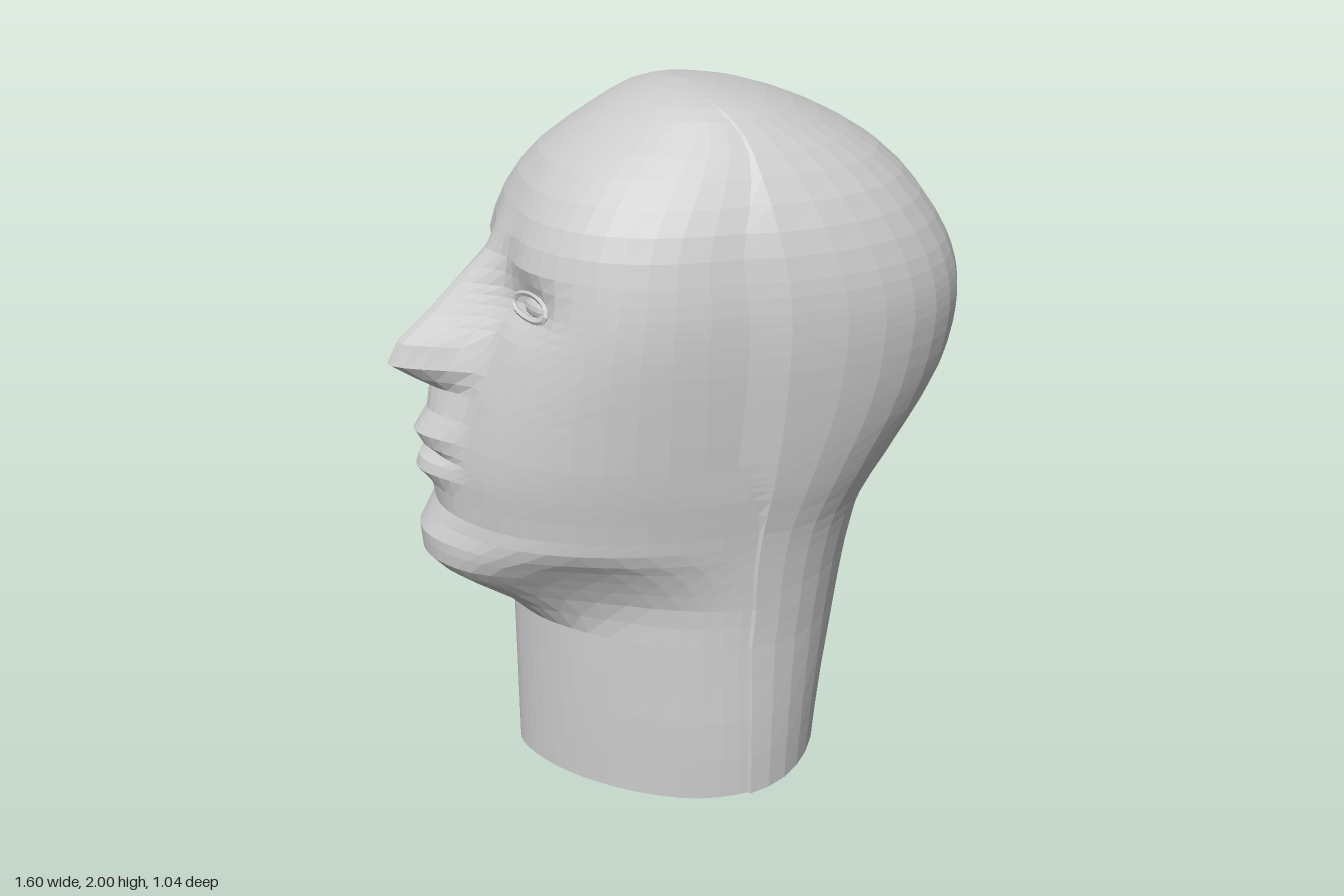
import * as THREE from 'three';

// Skull and neck sections: y, front x, back x, half width, x of widest point,
// squareness of the front, squareness of the back
const SKULL = [
  [0, -0.48, 0.42, 0.49, 0.09, 1.6, 2.03],
  [0.2, -0.48, 0.44, 0.488, 0.09, 1.6, 2.03],
  [0.44, -0.48, 0.475, 0.475, 0.09, 1.6, 2.05],
  [0.5, -0.48, 0.485, 0.472, 0.09, 1.62, 2.05],
  [0.6, -0.57, 0.5, 0.47, 0.1, 1.8, 2.05],
  [0.7, -0.68, 0.52, 0.472, 0.1, 2.1, 2.05],
  [0.85, -0.67, 0.56, 0.48, 0.11, 2.2, 2.1],
  [1.0, -0.67, 0.65, 0.5, 0.13, 2.2, 2.2],
  [1.2, -0.62, 0.76, 0.515, 0.15, 2.3, 2.4],
  [1.4, -0.53, 0.8, 0.52, 0.16, 2.55, 2.5],
  [1.55, -0.485, 0.77, 0.505, 0.16, 2.55, 2.5],
  [1.7, -0.445, 0.68, 0.46, 0.14, 2.45, 2.4],
  [1.82, -0.355, 0.56, 0.385, 0.12, 2.3, 2.3],
  [1.91, -0.23, 0.4, 0.305, 0.1, 2.1, 2.1],
  [1.965, -0.13, 0.25, 0.23, 0.06, 2, 2],
  [1.99, -0.05, 0.12, 0.12, 0.03, 2, 2],
  [2.0, 0.01, 0.03, 0.01, 0.02, 2, 2],
];
// Face centre line (chin, lips, nose, brow): y, x, half width of the feature
const FACE = [
  [0.5, -0.48, 0.2], [0.56, -0.54, 0.22], [0.62, -0.64, 0.26], [0.67, -0.7, 0.28],
  [0.71, -0.735, 0.29], [0.78, -0.74, 0.28], [0.86, -0.69, 0.25], [0.92, -0.7, 0.21],
  [0.97, -0.74, 0.19], [1.0, -0.73, 0.18], [1.02, -0.695, 0.18], [1.04, -0.72, 0.18],
  [1.08, -0.74, 0.18], [1.14, -0.7, 0.16], [1.21, -0.69, 0.14], [1.24, -0.74, 0.15],
  [1.28, -0.8, 0.16], [1.34, -0.77, 0.15], [1.42, -0.68, 0.13], [1.5, -0.6, 0.11],
  [1.58, -0.515, 0.11], [1.64, -0.48, 0.14], [1.7, -0.445, 0.2],
];
const ROWS = [0, 0.13, 0.26, 0.4, ...FACE.map((f) => f[0]),
  0.75, 0.82, 1.39, 1.45, 1.475, 1.54, 1.76, 1.82, 1.87, 1.91, 1.94, 1.965, 1.98, 1.99, 2].sort((a, b) => a - b);
const FRONT = [0, 0.045, 0.09, 0.14, 0.2, 0.27, 0.34, 0.41, 0.48, 0.56, 0.65, 0.74, 0.82, 0.89, 0.94, 0.975, 0.995];
const EYE = { y: 1.475, z: 0.215 };
const { smoothstep, clamp } = THREE.MathUtils;

// Row of a table at height y, with smooth or straight steps between rows
function sample(table, y, smooth) {
  let i = 0;
  while (i < table.length - 2 && table[i + 1][0] < y) i++;
  const a = table[i], b = table[i + 1], h = b[0] - a[0];
  const t = clamp((y - a[0]) / h, 0, 1);
  if (!smooth) return a.map((v, k) => v + (b[k] - v) * t);
  const before = table[Math.max(0, i - 1)], after = table[Math.min(table.length - 1, i + 2)];
  return a.map((v, k) => {
    const m0 = (b[k] - before[k]) / (b[0] - before[0]) * h;
    const m1 = (after[k] - v) / (after[0] - a[0]) * h;
    const d = b[k] - v;
    return v + t * (m0 + t * (3 * d - 2 * m0 - m1 + t * (m0 + m1 - 2 * d)));
  });
}

// Where the front shell meets the back: a crease on the neck, a soft step on the skull
function seam(y) {
  const t = smoothstep(y, 0.86, 1.1) * (1 - smoothstep(y, 1.6, 1.9));
  return { gap: 0.008 + 0.1 * t, inset: 0.982 - 0.022 * t };
}

// x of the front surface at height y and sideways distance z
function frontX(y, z) {
  const [, , , w, xw] = sample(SKULL, y, true);
  const { gap, inset } = seam(y);
  const s = Math.min(1, Math.abs(z) / (w * inset));
  // the underside of the jaw climbs from the chin towards the ears
  const climb = 0.12 * smoothstep(s, 0.3, 0.85) * smoothstep(y, 0.4, 0.65) * (1 - smoothstep(y, 0.75, 0.95));
  const [, xf, , , , n] = sample(SKULL, y - climb, true);
  const xs = xw - gap;
  let x = xs - (xs - xf) * Math.pow(1 - Math.pow(s, n), 1 / n);
  if (y > 0.5 && y < 1.7) {
    const [, xm, wm] = sample(FACE, y, false);
    const t = Math.min(1, Math.abs(z) / wm);
    x += (xm - xf) * Math.pow(0.5 + 0.5 * Math.cos(Math.PI * t), 0.9);
  }
  // eye socket and the brow above it
  const dz = (Math.abs(z) - EYE.z) / 0.095;
  x += 0.045 * Math.exp(-dz * dz - ((y - EYE.y) / 0.06) ** 2);
  x -= 0.015 * Math.exp(-dz * dz - ((y - 1.6) / 0.04) ** 2);
  return x;
}

// One closed section, from the face round by +z to the back and home by -z
function section(y) {
  const [, , xb, w, xw, , nb] = sample(SKULL, y, true);
  const { gap, inset } = seam(y);
  const half = FRONT.map((s) => [frontX(y, s * w * inset), s * w * inset]);
  half.push([xw - gap, w * inset]);
  for (let i = 0; i <= 9; i++) {
    const a = (i / 9) * Math.PI / 2, e = 2 / nb;
    half.push([
      xw + (xb - xw) * Math.pow(Math.sin(a), e),
      i === 9 ? 0 : w * Math.pow(Math.cos(a), e),
    ]);
  }
  const mirrored = half.slice(1, -1).reverse().map(([x, z]) => [x, -z]);
  // the cut under the neck rises towards the back
  return [...half, ...mirrored].map(([x, z]) => {
    const lift = Math.max(0, x + 0.07) * 0.11 * Math.max(0, 1 - y / 0.35);
    return [x, y + lift, z];
  });
}

function headGeometry() {
  const loops = ROWS.map(section), cols = loops[0].length, index = [];
  for (let r = 0; r < loops.length - 1; r++) {
    for (let c = 0; c < cols; c++) {
      const d = (c + 1) % cols;
      const a = r * cols + c, b = r * cols + d;
      index.push(a, b, b + cols, a, b + cols, a + cols);
    }
  }
  // close the crown
  const top = (loops.length - 1) * cols;
  for (let c = 1; c < cols - 1; c++) index.push(top, top + c, top + c + 1);
  const geo = new THREE.BufferGeometry();
  geo.setAttribute('position', new THREE.Float32BufferAttribute(loops.flat(2), 3));
  geo.setIndex(index);
  geo.computeVertexNormals();
  return geo;
}

export function createModel() {
  const group = new THREE.Group();
  group.name = 'mannequinHead';
  const mat = new THREE.MeshStandardMaterial({ color: 0xcccccc, flatShading: true, side: THREE.DoubleSide });
  const add = (name, geo) => {
    const mesh = new THREE.Mesh(geo, mat);
    mesh.name = name;
    group.add(mesh);
    return mesh;
  };
  add('headAndNeck', headGeometry());

  for (const [side, name] of [[1, 'left'], [-1, 'right']]) {
    // eyeball, turned a little outward
    const eye = add(name + 'Eye', new THREE.SphereGeometry(1, 12, 8));
    eye.scale.set(0.03, 0.032, 0.062);
    eye.rotation.y = side * 0.3;
    eye.position.set(frontX(EYE.y, EYE.z) + 0.013, EYE.y, side * EYE.z);

    // almond-shaped eyelid rim lying on the socket
    const rim = [];
    for (let i = 0; i < 12; i++) {
      const a = (i / 12) * Math.PI * 2;
      const z = EYE.z + 0.075 * Math.cos(a);
      const y = EYE.y + 0.036 * Math.sin(a) * (Math.sin(a) > 0 ? 1 : 0.8);
      rim.push(new THREE.Vector3(frontX(y, z), y, side * z));
    }
    add(name + 'Eyelids', new THREE.TubeGeometry(new THREE.CatmullRomCurve3(rim, true), 24, 0.009, 5, true));
  }
  return group;
}
